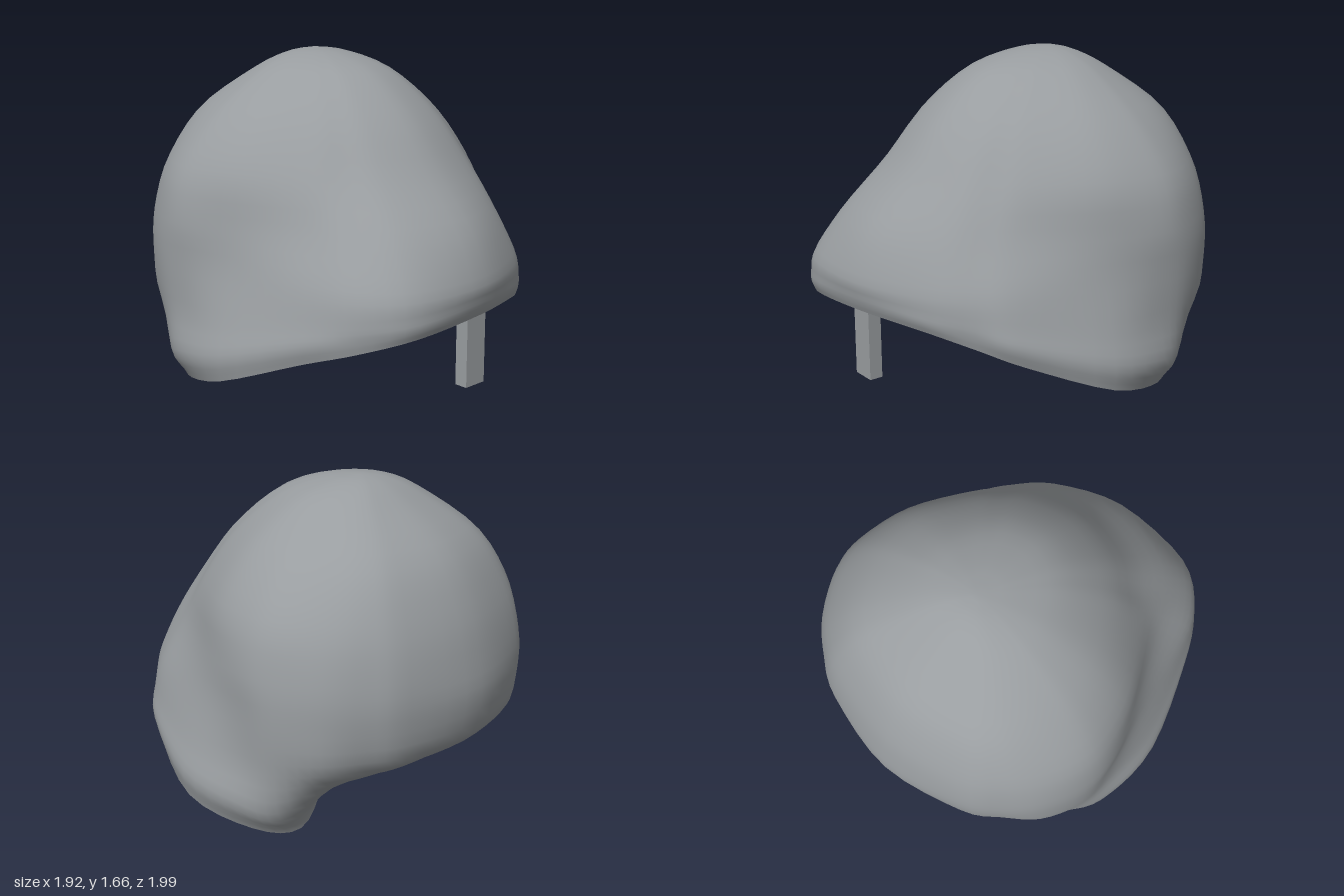
import * as THREE from 'three';

const AXIS_Z = -0.24, WALL = 0.04, AROUND = 80, DOWN = 32;
const HEIGHTS = [1.35, 1.1, 0.86, 0.64];

// Half of the hood from front (0 deg) to back (180 deg): angle, radii at HEIGHTS,
// then lower wall and hem as [radius, y] and the rim as [x, y, z]
const MERIDIANS = [
  [0, [0.7, 0.9, 1.11, 1.21], [1.21, 0.55], [1.2, 0.5], [0, 0.46, 0.945]],
  [20, [0.68, 0.87, 1.03, 1.13], [1.145, 0.53], [1.145, 0.48], [0.385, 0.435, 0.82]],
  [33, [0.65, 0.82, 0.95, 1.07], [1.1, 0.5], [1.1, 0.43], [0.6, 0.37, 0.665]],
  [45, [0.63, 0.8, 0.89, 1.0], [1.055, 0.47], [1.08, 0.38], [0.755, 0.29, 0.495]],
  [70, [0.63, 0.8, 0.85, 0.89], [0.96, 0.4], [1.01, 0.25], [0.93, 0.125, 0.09]],
  [90, [0.63, 0.82, 0.885, 0.89], [0.9, 0.38], [0.935, 0.18], [0.85, 0.035, -0.28]],
  [103, [0.62, 0.82, 0.89, 0.905], [0.89, 0.38], [0.85, 0.14], [0.66, 0.01, -0.42]],
  [118, [0.61, 0.79, 0.865, 0.88], [0.85, 0.4], [0.69, 0.25], [0.42, 0.13, -0.35]],
  [132, [0.6, 0.76, 0.825, 0.835], [0.78, 0.405], [0.59, 0.3], [0.22, 0.285, -0.25]],
  [147, [0.57, 0.72, 0.79, 0.8], [0.74, 0.41], [0.51, 0.34], [0.1, 0.43, -0.16]],
  [180, [0.54, 0.68, 0.745, 0.765], [0.68, 0.41], [0.38, 0.35], [0, 0.56, -0.1]],
];

// Brim bulge on the model's right: outward push by angle, strength by level
const PUSH = { 20: 0.13, 33: 0.12, 45: 0.045 };
const STRENGTH = [0, 0, 0, 0.1, 0.6, 0.95, 1, 1, 1];

// Points of one meridian from the crown down to the rim
function meridianPoints([deg, radii, wall, hem, rim], side) {
  const a = THREE.MathUtils.degToRad(deg);
  const out = new THREE.Vector3(Math.sin(a), 0, Math.cos(a));
  const top = radii[0] * (0.58 + 0.07 * Math.cos(a));
  const profile = [[top * 0.45, 1.635], [top, 1.55], ...radii.map((r, i) => [r, HEIGHTS[i]]), wall, hem];
  const points = profile.map(([r, y]) => new THREE.Vector3(0, y, AXIS_Z).addScaledVector(out, r));
  points.push(new THREE.Vector3(...rim));
  points.forEach((p, level) => {
    if (side < 0) p.addScaledVector(out, (PUSH[deg] ?? 0) * STRENGTH[level]);
    p.x *= side;
  });
  return points;
}

function hoodGeometry() {
  // Closed smooth loop for each level
  const controls = [
    ...MERIDIANS.map(m => meridianPoints(m, 1)),
    ...MERIDIANS.slice(1, -1).reverse().map(m => meridianPoints(m, -1)),
  ];
  const loops = STRENGTH.map((_, level) =>
    new THREE.CatmullRomCurve3(controls.map(c => c[level]), true, 'catmullrom', 0.5));

  // Outer skin: crown vertex followed by rings down to the rim
  const crown = new THREE.Vector3(0, 1.66, AXIS_Z);
  const meridians = [];
  for (let i = 0; i < AROUND; i++) {
    meridians.push(new THREE.CatmullRomCurve3(
      [crown, ...loops.map(l => l.getPoint(i / AROUND))], false, 'catmullrom', 0.5));
  }
  const pos = [...crown.toArray()], index = [];
  for (let j = 1; j <= DOWN; j++) {
    for (const m of meridians) pos.push(...m.getPoint(j / DOWN).toArray());
  }
  const id = (j, i) => 1 + (j - 1) * AROUND + (i % AROUND);
  for (let i = 0; i < AROUND; i++) {
    index.push(0, id(1, i), id(1, i + 1));
    for (let j = 1; j < DOWN; j++) {
      index.push(id(j, i), id(j + 1, i), id(j + 1, i + 1), id(j, i), id(j + 1, i + 1), id(j, i + 1));
    }
  }
  const outer = makeGeometry(pos, index);

  // Lining: the skin moved inward, facing the other way
  const n = outer.attributes.normal.array;
  const inPos = pos.map((v, k) => v - n[k] * WALL);
  const lining = makeGeometry(inPos, index.slice().reverse());

  // Flat lip joining skin and lining
  const lipPos = [], lipIndex = [];
  for (let i = 0; i < AROUND; i++) {
    const k = id(DOWN, i) * 3;
    lipPos.push(...pos.slice(k, k + 3), ...inPos.slice(k, k + 3));
    const a = 2 * i, b = 2 * ((i + 1) % AROUND);
    lipIndex.push(a, a + 1, b, b, a + 1, b + 1);
  }
  return { outer, lining, lip: makeGeometry(lipPos, lipIndex) };
}

function makeGeometry(pos, index) {
  const g = new THREE.BufferGeometry();
  g.setAttribute('position', new THREE.Float32BufferAttribute(pos, 3));
  g.setIndex(index);
  g.computeVertexNormals();
  return g;
}

export function createModel() {
  const group = new THREE.Group();
  group.name = 'hood';
  const grey = new THREE.MeshStandardMaterial({ color: 0x999da0, side: THREE.DoubleSide });
  grey.name = 'grey';

  const add = (name, geometry) => {
    const mesh = new THREE.Mesh(geometry, grey);
    mesh.name = name;
    group.add(mesh);
    return mesh;
  };

  const { outer, lining, lip } = hoodGeometry();
  add('hoodShell', outer);
  add('hoodLining', lining);
  add('hoodLip', lip);

  // Small post hanging under the front brim
  add('frontPost', new THREE.BoxGeometry(0.13, 0.37, 0.07)).position.set(-0.015, 0.285, 0.895);
  return group;
}
